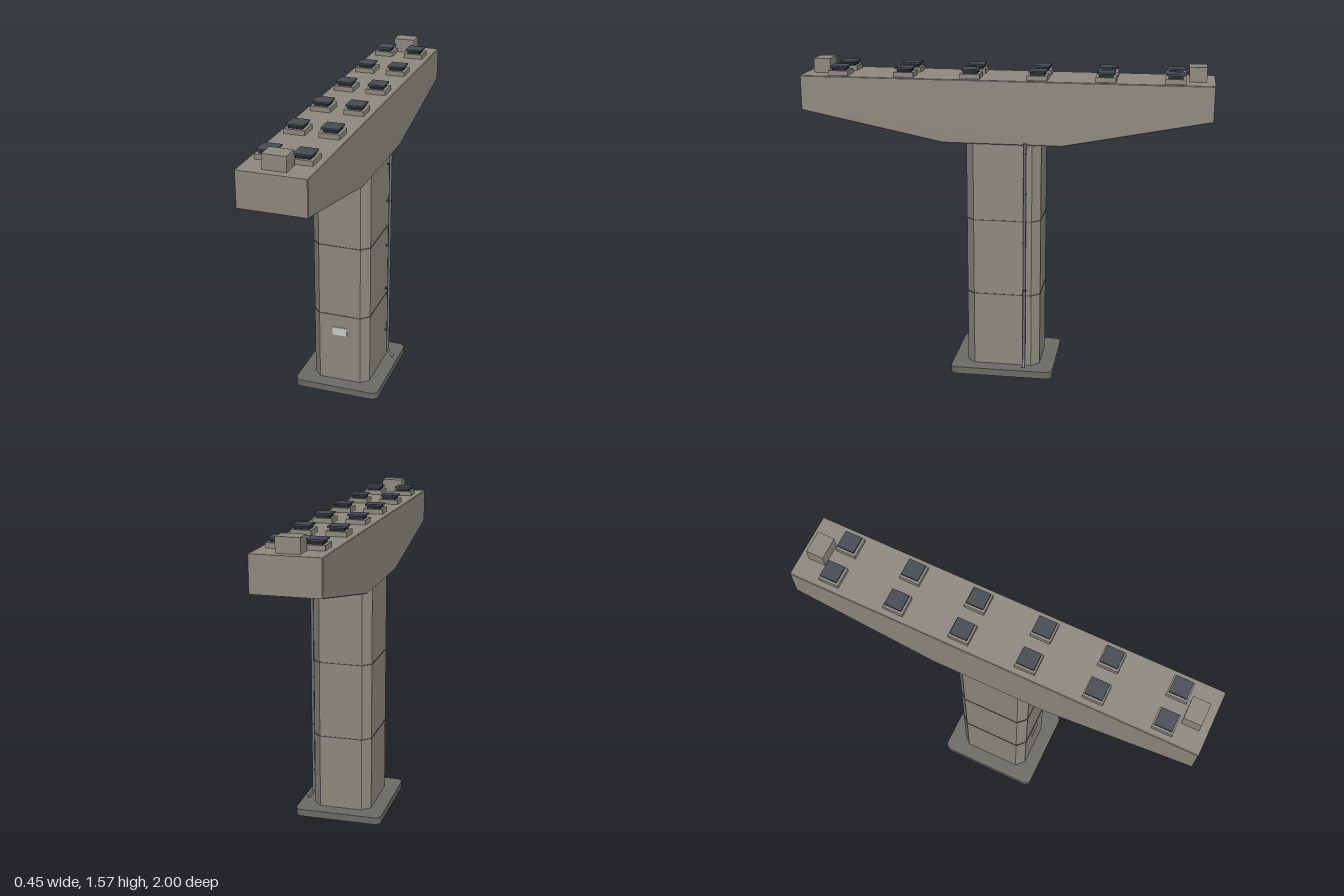
import * as THREE from 'three';

const mat = (color) => new THREE.MeshStandardMaterial({ color });
const concrete = mat(0x8f8b81);
const darkConcrete = mat(0x6c6b65);
const joint = mat(0x55534e);
const rubber = mat(0x24272a);
const steel = mat(0x474d55);
const pipeGrey = mat(0x70727a);
const plateGrey = mat(0xcfcfc8);

function add(parent, name, geometry, material, x = 0, y = 0, z = 0) {
  const mesh = new THREE.Mesh(geometry, material);
  mesh.name = name;
  mesh.position.set(x, y, z);
  parent.add(mesh);
  return mesh;
}

// Rectangle plan with chamfered corners
function chamferedPlan(hx, hz, c) {
  return new THREE.Shape([
    [hx - c, -hz], [hx, -hz + c], [hx, hz - c], [hx - c, hz],
    [-hx + c, hz], [-hx, hz - c], [-hx, -hz + c], [-hx + c, -hz],
  ].map(([x, y]) => new THREE.Vector2(x, y)));
}

// Rectangle plan with rounded corners
function roundedPlan(hx, hz, r) {
  const s = new THREE.Shape();
  s.absarc(hx - r, hz - r, r, 0, Math.PI / 2);
  s.absarc(-hx + r, hz - r, r, Math.PI / 2, Math.PI);
  s.absarc(-hx + r, -hz + r, r, Math.PI, Math.PI * 1.5);
  s.absarc(hx - r, -hz + r, r, Math.PI * 1.5, Math.PI * 2);
  return s;
}

// Plan extruded upward from y0 to y1
function prism(plan, y0, y1) {
  const g = new THREE.ExtrudeGeometry(plan, { depth: y1 - y0, bevelEnabled: false, curveSegments: 6 });
  return g.rotateX(-Math.PI / 2).translate(0, y0, 0);
}

export function createModel() {
  const model = new THREE.Group();
  model.name = 'bridgePier';

  // Footing and column with casting joints
  add(model, 'footing', prism(roundedPlan(0.223, 0.26, 0.035), 0, 0.036), darkConcrete);
  add(model, 'column', prism(chamferedPlan(0.149, 0.185, 0.04), 0.036, 1.192), concrete);
  for (const y of [0.415, 0.802]) {
    add(model, 'castingJoint', prism(chamferedPlan(0.151, 0.187, 0.04), y - 0.002, y + 0.002), joint);
  }

  // Hammerhead cap, tapered toward both ends
  const side = new THREE.Shape([
    [-0.29, 1.19], [0.29, 1.19], [1, 1.33], [1, 1.5], [-1, 1.5], [-1, 1.33],
  ].map(([z, y]) => new THREE.Vector2(z, y)));
  const capGeo = new THREE.ExtrudeGeometry(side, {
    depth: 0.316, bevelEnabled: true, bevelThickness: 0.003, bevelSize: 0.003, bevelOffset: -0.003, bevelSegments: 1,
  });
  capGeo.translate(0, 0, -0.158).rotateY(-Math.PI / 2);
  add(model, 'cap', capGeo, concrete);

  // Two rows of bearings on pedestals
  for (const sx of [-1, 1]) {
    for (const z of [-0.815, -0.489, -0.163, 0.163, 0.489, 0.815]) {
      const bearing = new THREE.Group();
      bearing.name = 'bearing';
      bearing.position.set(sx * 0.082, 1.5, z);
      add(bearing, 'pedestal', new THREE.BoxGeometry(0.098, 0.023, 0.098), concrete, 0, 0.0115);
      add(bearing, 'rubberPad', new THREE.BoxGeometry(0.068, 0.016, 0.068), rubber, 0, 0.031);
      add(bearing, 'topPlate', new THREE.BoxGeometry(0.084, 0.008, 0.084), steel, 0, 0.041);
      model.add(bearing);
    }
  }

  // Shear blocks at the cap ends
  for (const sz of [-1, 1]) {
    add(model, 'shearBlock', new THREE.BoxGeometry(0.11, 0.07, 0.084), concrete, 0, 1.535, sz * 0.918);
  }

  // Drain pipe with kicked-out foot, collar and clamps
  const px = 0.167, pz = -0.112;
  const path = new THREE.CurvePath();
  const v = (x, y) => new THREE.Vector3(x, y, pz);
  path.add(new THREE.LineCurve3(v(px, 1.2), v(px, 0.095)));
  path.add(new THREE.QuadraticBezierCurve3(v(px, 0.095), v(px, 0.078), v(0.177, 0.064)));
  path.add(new THREE.LineCurve3(v(0.177, 0.064), v(0.196, 0.042)));
  add(model, 'drainPipe', new THREE.TubeGeometry(path, 160, 0.007, 10), pipeGrey).material = pipeGrey;
  add(model, 'pipeCollar', new THREE.CylinderGeometry(0.0095, 0.0095, 0.014, 12), pipeGrey, px, 1.193, pz);
  for (const y of [0.2, 0.45, 0.7, 0.95, 1.15]) {
    add(model, 'pipeClamp', new THREE.CylinderGeometry(0.009, 0.009, 0.008, 12), steel, px, y, pz);
    add(model, 'clampBracket', new THREE.BoxGeometry(0.02, 0.006, 0.01), steel, 0.156, y, pz);
  }

  // Blank identification plate on the front face
  add(model, 'plate', new THREE.BoxGeometry(0.075, 0.045, 0.006), plateGrey, 0, 0.323, 0.187);

  return model;
}
